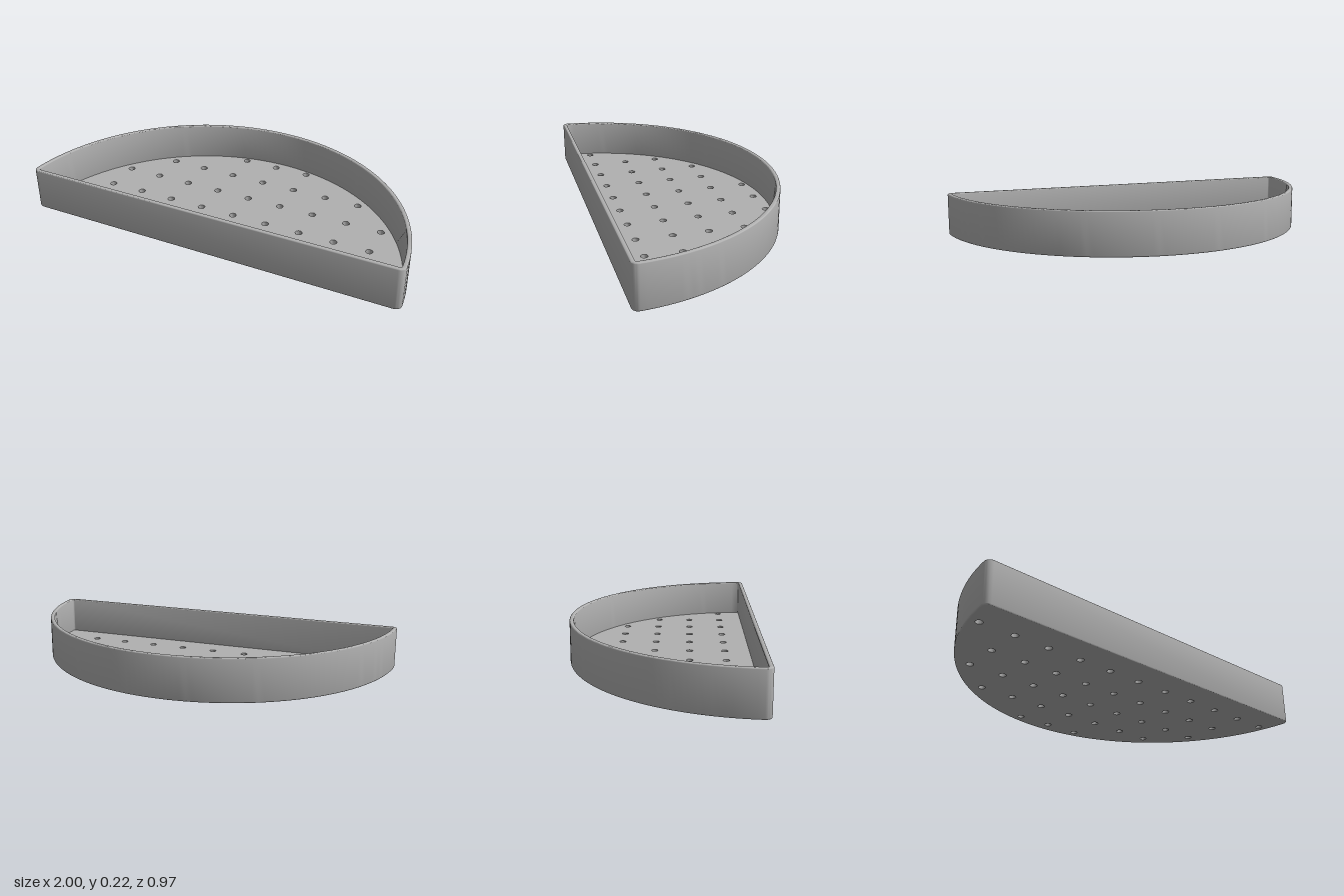
import * as THREE from 'three';
import { toCreasedNormals } from 'three/addons/utils/BufferGeometryUtils.js';

const HEIGHT = 0.222, FLOOR = 0.025, WALL = 0.022, BEVEL = 0.006;
const RADIUS = 1.002, FRONT = 0.483, CENTRE = 0.519;

// Points along an arc, ends included
function arc(cx, cy, r, a0, a1, n) {
  return Array.from({ length: n + 1 }, (_, i) => {
    const a = a0 + (a1 - a0) * i / n;
    return new THREE.Vector2(cx + r * Math.cos(a), cy + r * Math.sin(a));
  });
}

// Half-round outline with rounded front corners, moved inwards by d
function outline(d) {
  const R = RADIUS - d, r = Math.max(0.032 - d, 0.01);
  const fy = -(FRONT - d) + r, dy = fy + CENTRE;
  const fx = Math.sqrt((R - r) ** 2 - dy ** 2), a = Math.atan2(dy, fx);
  return [
    ...arc(fx, fy, r, -Math.PI / 2, a, 8),
    ...arc(0, -CENTRE, R, a, Math.PI - a, 96).slice(1, -1),
    ...arc(-fx, fy, r, Math.PI - a, Math.PI * 1.5, 8),
  ];
}

function extrudeUp(shape, options) {
  const geometry = new THREE.ExtrudeGeometry(shape, options);
  geometry.rotateX(-Math.PI / 2);
  return toCreasedNormals(geometry, 0.6);
}

export function createModel() {
  const group = new THREE.Group();
  group.name = 'halfRoundTray';
  const grey = new THREE.MeshStandardMaterial({ color: 0xb0b0b0 });
  grey.name = 'grey';

  // Thin wall with softened edges
  const ring = new THREE.Shape(outline(0));
  ring.holes.push(new THREE.Path(outline(WALL)));
  const wallGeometry = extrudeUp(ring, {
    depth: HEIGHT - 2 * BEVEL, bevelEnabled: true, bevelThickness: BEVEL,
    bevelSize: BEVEL, bevelOffset: -BEVEL, bevelSegments: 3,
  });
  wallGeometry.translate(0, BEVEL, 0);
  const wall = new THREE.Mesh(wallGeometry, grey);
  wall.name = 'wall';

  // Floor with a grid of drain holes; each row reaches a number of holes either side
  const base = new THREE.Shape(outline(WALL / 2));
  const step = 0.186;
  [1, 3, 4, 4, 5].forEach((reach, row) => {
    const z = -0.414 + row * step;
    for (let i = -reach; i <= reach; i++) {
      base.holes.push(new THREE.Path(arc(i * step, -z, 0.018, 0, Math.PI * 2, 20).slice(0, -1)));
    }
  });
  const floor = new THREE.Mesh(extrudeUp(base, { depth: FLOOR, bevelEnabled: false }), grey);
  floor.name = 'perforatedFloor';

  group.add(wall, floor);
  return group;
}
